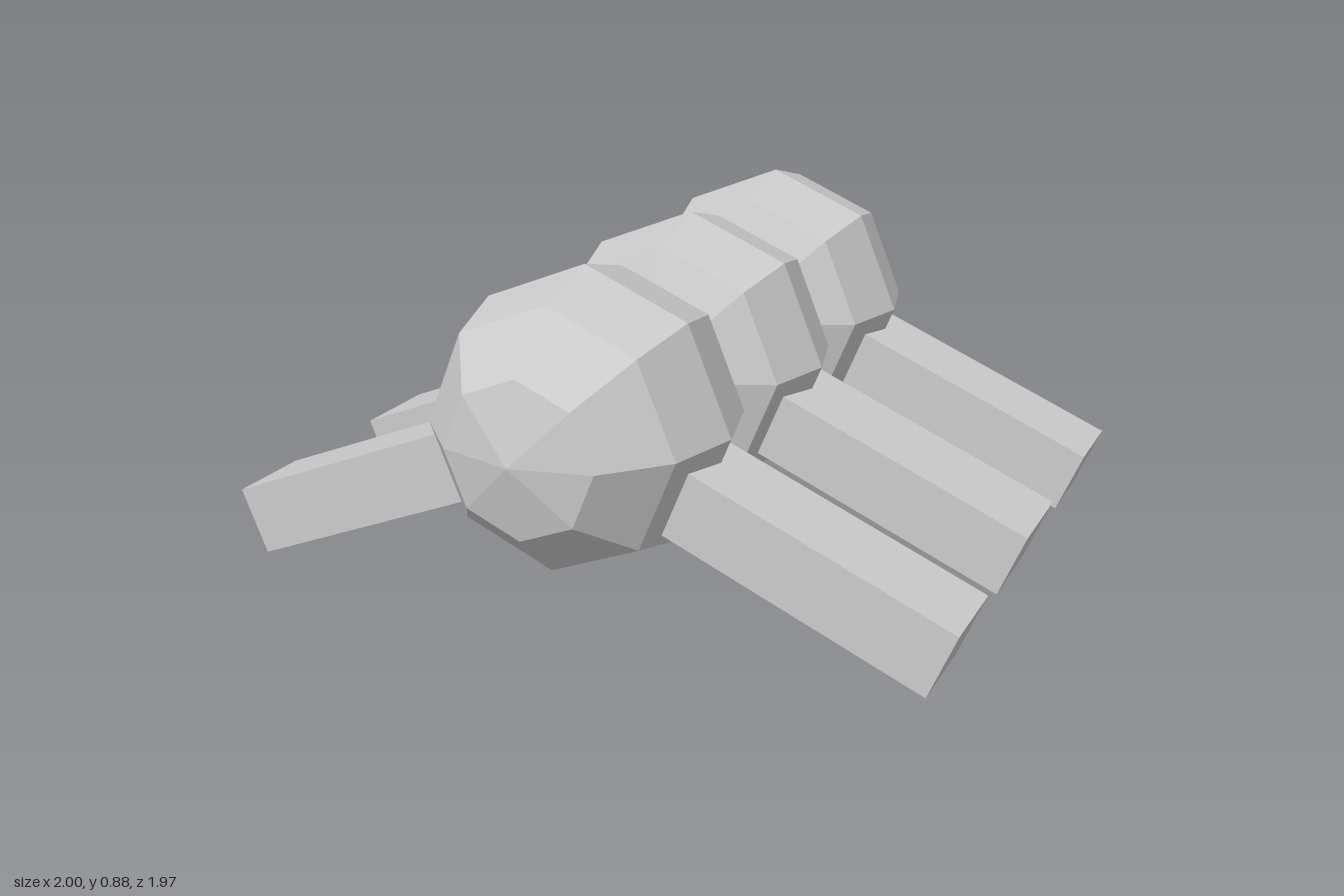
import * as THREE from 'three';

export function createModel() {
  const model = new THREE.Group();
  const material = new THREE.MeshStandardMaterial({ color: 0xcccccc, flatShading: true });

  // Body: eight-sided lathe along z, half profile [radius, z] mirrored front to back
  const half = [
    [0.387, 0], [0.335, 0.185], [0.195, 0.25], [0.195, 0.33], [0.335, 0.4],
    [0.387, 0.595], [0.335, 0.79], [0.2, 0.935], [0, 0.983],
  ];
  const back = half.slice(1).reverse().map(([r, z]) => [r, -z]);
  const profile = [...back, ...half].map(([r, z]) => new THREE.Vector2(r, z));
  const bodyGeometry = new THREE.LatheGeometry(profile, 8);
  bodyGeometry.rotateX(Math.PI / 2);
  const body = new THREE.Mesh(bodyGeometry, material);
  body.name = 'segmentedBody';
  body.position.y = 0.5;
  model.add(body);

  // Legs: one sloping square bar on each side of every segment
  const slope = Math.PI / 8;
  const length = 0.76;
  const legs = [['front', 0.603, 0.232], ['middle', 0, 0.26], ['back', -0.603, 0.232]];
  for (const [place, z, width] of legs) {
    for (const side of [1, -1]) {
      const leg = new THREE.Mesh(new THREE.BoxGeometry(length, 0.184, width), material);
      leg.name = place + (side > 0 ? 'LeftLeg' : 'RightLeg');
      leg.rotation.z = -side * slope;
      // the outer end is centred at (0.965, 0.087)
      leg.position.set(
        side * (0.965 - Math.cos(slope) * length / 2),
        0.087 + Math.sin(slope) * length / 2,
        z
      );
      model.add(leg);
    }
  }
  return model;
}
